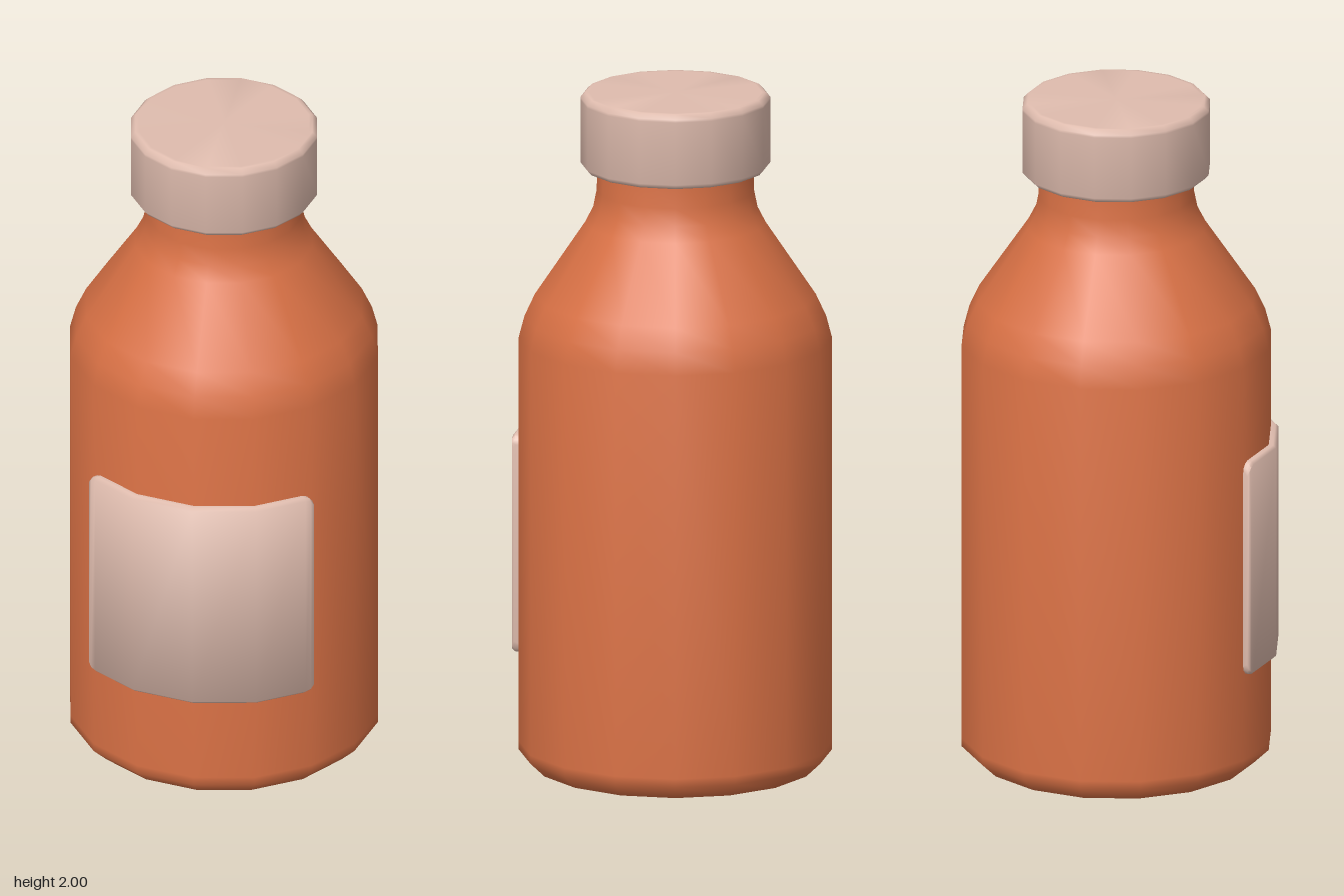
import * as THREE from 'three';
import { toCreasedNormals } from 'three/addons/utils/BufferGeometryUtils.js';

const SIDES = 16, RADIUS = 0.452, CENTRE_Z = -0.012;

function lathe(name, profile, material) {
  const points = profile.map(([r, y]) => new THREE.Vector2(r, y));
  const mesh = new THREE.Mesh(toCreasedNormals(new THREE.LatheGeometry(points, SIDES), 0.9), material);
  mesh.name = name;
  return mesh;
}

// Rounded plate wrapped over the facets of the bottle
function labelGeometry(y0, y1) {
  const half = [[45, 0.03, 0.014], [44.5, 0.016, 0.02], [43.3, 0.005, 0.022], [41.3, 0, 0.022], [22.5, 0, 0.022]];
  // each column: angle in degrees, inset at the rounded corner, thickness
  const columns = [...half.map(([a, i, d]) => [-a, i, d]), [0, 0, 0.022], ...half.slice().reverse()];
  const step = (Math.PI * 2) / SIDES;
  const positions = [], index = [];
  for (const [degrees, inset, depth] of columns) {
    const angle = THREE.MathUtils.degToRad(degrees);
    const local = Math.abs(angle) % step;
    const facet = Math.cos(step / 2) / Math.cos(local - step / 2);
    const b = y0 + inset, t = y1 - inset;
    const section = [[b, -0.005], [b, depth * 0.6], [b + 0.008, depth],
      [t - 0.008, depth], [t, depth * 0.6], [t, -0.005]];
    for (const [y, d] of section) {
      const r = (RADIUS + d) * facet;
      positions.push(r * Math.sin(angle), y, r * Math.cos(angle));
    }
  }
  const n = 6, last = (columns.length - 1) * n;
  for (let i = 0; i < columns.length - 1; i++) {
    for (let j = 0; j < n - 1; j++) {
      const a = i * n + j, b = a + n;
      index.push(a, b, b + 1, a, b + 1, a + 1);
    }
  }
  // end faces
  for (let j = 1; j < n - 1; j++) {
    index.push(0, j, j + 1, last, last + j + 1, last + j);
  }
  const geometry = new THREE.BufferGeometry();
  geometry.setAttribute('position', new THREE.Float32BufferAttribute(positions, 3));
  geometry.setIndex(index);
  return toCreasedNormals(geometry, 0.9);
}

export function createModel() {
  const amber = new THREE.MeshStandardMaterial({ color: 0xd97145 });
  amber.name = 'amber';
  const cream = new THREE.MeshStandardMaterial({ color: 0xdfbcae });
  cream.name = 'paleCream';

  const model = new THREE.Group();
  model.name = 'bottle';

  // Body with chamfered foot, sloping shoulder and neck
  model.add(lathe('bottleBody', [
    [0, 0], [0.38, 0], [0.408, 0.003], [0.452, 0.045], [0.452, 0.07], [0.452, 1.27], [0.435, 1.335],
    [0.405, 1.4], [0.26, 1.615], [0.237, 1.66], [0.227, 1.71], [0.225, 1.8],
  ], amber));

  // Screw cap
  model.add(lathe('cap', [
    [0, 1.778], [0.25, 1.778], [0.262, 1.778], [0.274, 1.792], [0.274, 1.8], [0.274, 1.978],
    [0.274, 1.986], [0.26, 2], [0.25, 2], [0, 2],
  ], cream));

  // Front label
  const label = new THREE.Mesh(labelGeometry(0.328, 0.98), cream);
  label.name = 'label';
  model.add(label);

  for (const part of model.children) part.position.z = CENTRE_Z;
  return model;
}
